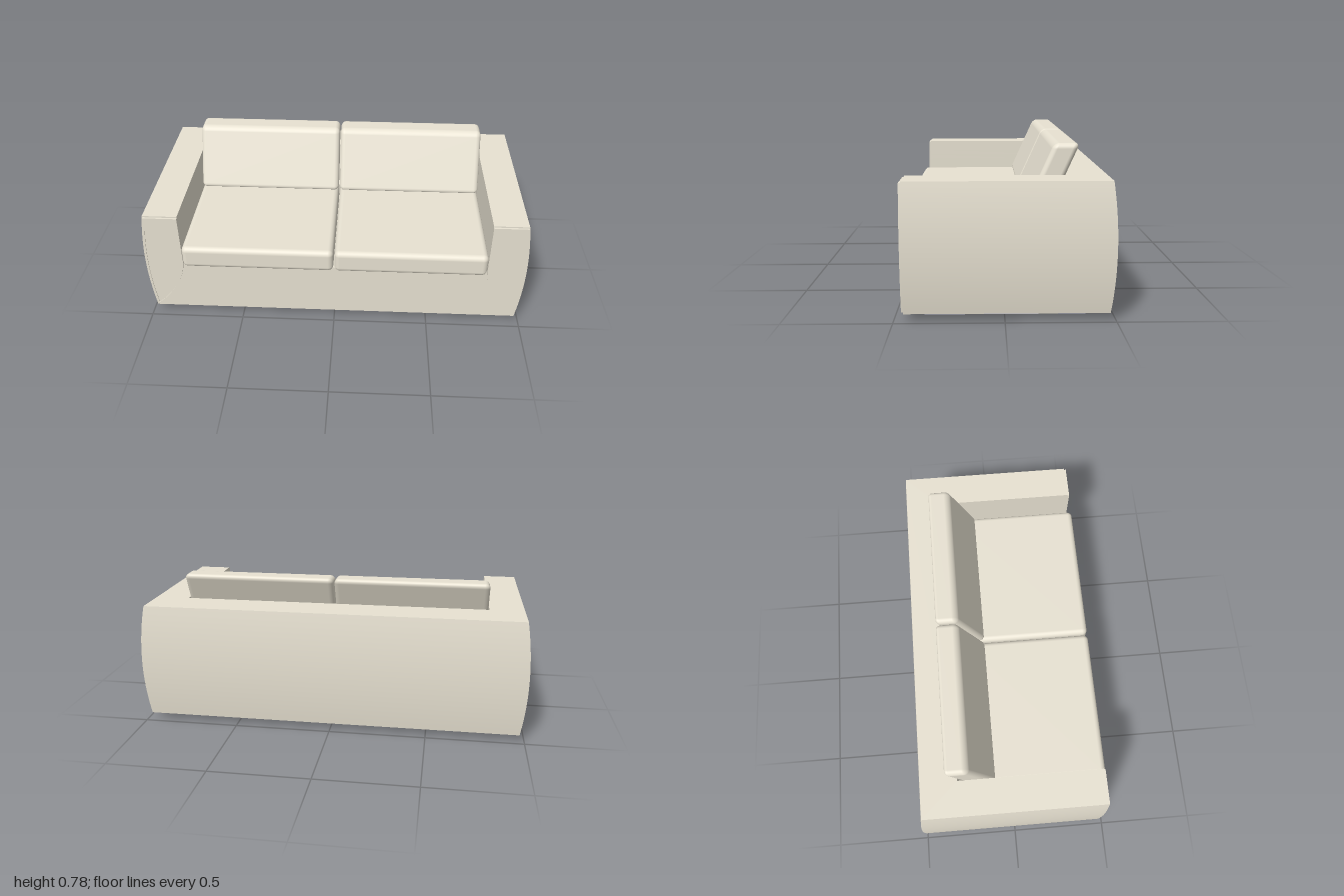
import * as THREE from 'three';
import { mergeGeometries, toCreasedNormals } from 'three/addons/utils/BufferGeometryUtils.js';
import { RoundedBoxGeometry } from 'three/addons/geometries/RoundedBoxGeometry.js';

const BOTTOM = 0.035, SEAT = 0.335, TOP = 0.635;
const LEAN = 0.45; // backward lean of the back cushions (z per y)

// Plan outline ([x, z] points) raised from y0 to y1
function raise(points, y0, y1) {
  const shape = new THREE.Shape(points.map(([x, z]) => new THREE.Vector2(x, -z)));
  const geo = new THREE.ExtrudeGeometry(shape, { depth: y1 - y0, steps: 10, bevelEnabled: false });
  return geo.rotateX(-Math.PI / 2).translate(0, y0, 0);
}

// Base block plus U-shaped arms and back, with bulging outer walls
function bodyGeometry() {
  const X = 0.975, F = 0.455, B = -0.475, I = 0.797, D = -0.285;
  const base = raise([[-X, F], [X, F], [X, B], [-X, B]], BOTTOM, SEAT);
  const walls = raise([[-X, F], [-I, F], [-I, D], [I, D], [I, F], [X, F], [X, B], [-X, B]], SEAT, TOP);
  const geo = mergeGeometries([base, walls]);
  const p = geo.attributes.position;
  for (let i = 0; i < p.count; i++) {
    const x = p.getX(i), y = p.getY(i), z = p.getZ(i);
    const bulge = 0.025 * (1 - ((y - SEAT) / 0.3) ** 2);
    if (Math.abs(x) > 0.97) p.setX(i, x + Math.sign(x) * bulge);
    if (z < -0.47) p.setZ(i, z - 0.8 * bulge);
    else if (z < -0.28) p.setZ(i, z + LEAN * (TOP - y)); // sloped inside of the back
  }
  return toCreasedNormals(geo, 0.5);
}

// Outline of the arm front, inset by d, on side s
function armOutline(s, d, Type = THREE.Shape) {
  const o = new Type();
  o.moveTo(s * (0.797 + d), 0.628 - d);
  o.lineTo(s * (0.972 - d), 0.628 - d);
  o.quadraticCurveTo(s * (1.018 - d), SEAT, s * (0.972 - d), 0.043 + 1.5 * d);
  o.quadraticCurveTo(s * (0.822 + 0.7 * d), 0.15 + d, s * (0.797 + d), 0.34);
  o.closePath();
  return o;
}

function extrudeFront(shape, depth) {
  const geo = new THREE.ExtrudeGeometry(shape, { depth, curveSegments: 16, bevelEnabled: false });
  return toCreasedNormals(geo.translate(0, 0, 0.455), 0.5);
}

export function createModel() {
  const sofa = new THREE.Group();
  sofa.name = 'sofa';
  const fabric = new THREE.MeshStandardMaterial({ color: 0xe8e2d2 });
  const plinthMaterial = new THREE.MeshStandardMaterial({ color: 0xb9b9c9 });
  const add = (name, geo, material = fabric) => {
    const mesh = new THREE.Mesh(geo, material);
    mesh.name = name;
    sofa.add(mesh);
    return mesh;
  };

  add('body', bodyGeometry());

  // Low recessed plinth
  add('plinth', new THREE.BoxGeometry(1.76, BOTTOM, 0.745), plinthMaterial)
    .position.set(0, BOTTOM / 2, -0.003);

  const shear = new THREE.Matrix4().makeShear(0, 0, 0, -LEAN, 0, 0);
  for (const [s, side] of [[1, 'left'], [-1, 'right']]) {
    // Arm front: raised border around a slightly lower panel
    const border = armOutline(s, 0);
    border.holes.push(armOutline(s, 0.011, THREE.Path));
    add(side + 'ArmBorder', extrudeFront(border, 0.01));
    add(side + 'ArmPanel', extrudeFront(armOutline(s, 0.011), 0.006));

    // Seat cushion overhanging the front
    add(side + 'SeatCushion', new RoundedBoxGeometry(0.79, 0.125, 0.7, 5, 0.028))
      .position.set(s * 0.398, 0.3975, 0.143);

    // Leaning back cushion with level top
    const back = new RoundedBoxGeometry(0.79, 0.325, 0.12, 5, 0.026).applyMatrix4(shear);
    add(side + 'BackCushion', back).position.set(s * 0.398, 0.6175, -0.217);
  }
  return sofa;
}
